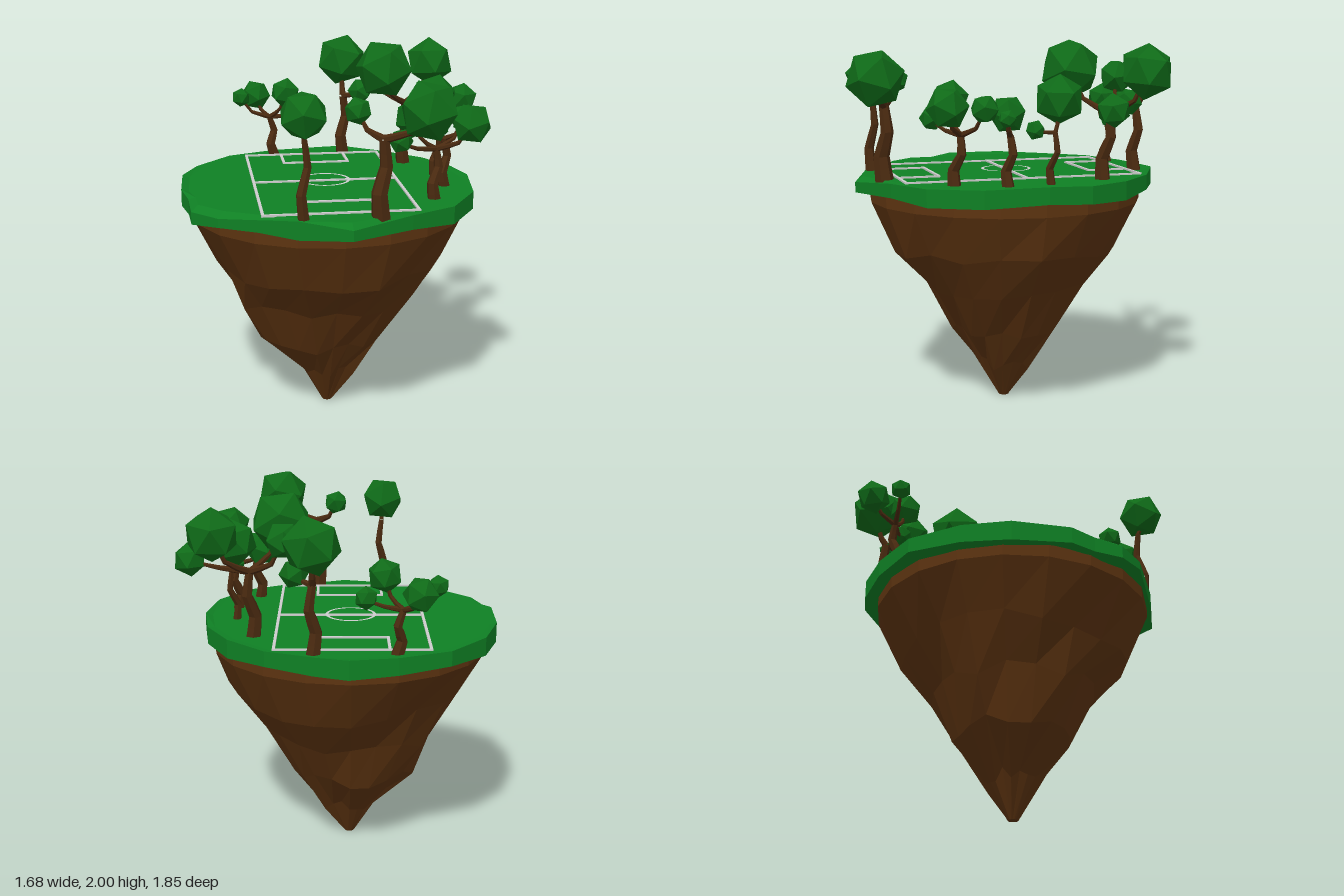
import * as THREE from 'three';

const mat = (color, extra = {}) => new THREE.MeshStandardMaterial({ color, flatShading: true, ...extra });
const CX = -0.06; // island axis

let seed = 7;
const rand = () => (seed = (seed * 16807) % 2147483647) / 2147483647;

function addMesh(parent, name, geometry, material) {
  const mesh = new THREE.Mesh(geometry, material);
  mesh.name = name;
  parent.add(mesh);
  return mesh;
}

// Skin a stack of closed rings (each an array of [x, y, z]), listed from top to bottom
function loft(rings) {
  const n = rings[0].length, index = [];
  for (let r = 0; r < rings.length - 1; r++) {
    for (let i = 0; i < n; i++) {
      const a = r * n + i, b = r * n + (i + 1) % n;
      index.push(a, b, a + n, b, b + n, a + n);
    }
  }
  const geo = new THREE.BufferGeometry();
  geo.setAttribute('position', new THREE.Float32BufferAttribute(rings.flat(2), 3));
  geo.setIndex(index);
  geo.computeVertexNormals();
  return geo;
}

// Ring order that makes the outside face outwards
const shrink = (ring, k, y) => ring.map(([x, , z]) => [CX + (x - CX) * k, y, z * k]);

// Tapered bent limb
function limb(points, r0, r1, segments) {
  const curve = new THREE.CatmullRomCurve3(points, false, 'catmullrom', 0.2);
  const sides = 6, geo = new THREE.TubeGeometry(curve, segments, 1, sides, false);
  const pos = geo.attributes.position, v = new THREE.Vector3();
  for (let i = 0; i < pos.count; i++) {
    const t = Math.floor(i / (sides + 1)) / segments;
    const centre = curve.getPointAt(t);
    v.fromBufferAttribute(pos, i).sub(centre).multiplyScalar(r0 + (r1 - r0) * t).add(centre);
    pos.setXYZ(i, v.x, v.y, v.z);
  }
  geo.computeVertexNormals();
  return geo;
}

function makeRock() {
  // height, then radius towards +x, +z, -x, -z
  const levels = [
    [1.21, 0.745, 0.74, 0.745, 0.75], [1.14, 0.745, 0.74, 0.745, 0.75],
    [0.88, 0.66, 0.61, 0.60, 0.59], [0.66, 0.50, 0.42, 0.49, 0.44],
    [0.42, 0.32, 0.28, 0.375, 0.32], [0.21, 0.18, 0.145, 0.145, 0.14],
    [0, 0.028, 0.028, 0.028, 0.028], [0, 0.001, 0.001, 0.001, 0.001],
  ];
  const n = 20;
  return loft(levels.map(([y, px, pz, nx, nz], row) => {
    const rough = row > 1 && row < 6 ? 1 : 0;
    return Array.from({ length: n }, (_, i) => {
      const a = -i / n * Math.PI * 2, c = Math.cos(a), s = Math.sin(a);
      const r = (c > 0 ? px : nx) * c * c + (s > 0 ? pz : nz) * s * s;
      const k = r * (1 + rough * (rand() - 0.5) * 0.06);
      return [CX + c * k, y + rough * (rand() - 0.5) * 0.07, s * k];
    });
  }));
}

function makeGrass() {
  // rim corners: x, height, z
  const rim = [
    [-0.045, 1.29, -0.82], [0.13, 1.3, -0.80], [0.37, 1.29, -0.67], [0.57, 1.29, -0.47],
    [0.69, 1.29, -0.24], [0.725, 1.3, 0], [0.68, 1.29, 0.32], [0.52, 1.285, 0.57],
    [0.28, 1.285, 0.70], [-0.035, 1.257, 0.83], [-0.29, 1.285, 0.73], [-0.48, 1.27, 0.63],
    [-0.67, 1.255, 0.53], [-0.80, 1.255, 0.39], [-0.81, 1.28, 0.24], [-0.845, 1.3, 0.11],
    [-0.835, 1.3, -0.20], [-0.75, 1.29, -0.44], [-0.555, 1.29, -0.67], [-0.29, 1.29, -0.78],
  ].reverse();
  const foot = rim.map(([x, , z], i) => [x, 1.2 + 0.012 * Math.sin(i * 1.9), z]);
  return loft([shrink(rim, 0.001, 1.287), shrink(rim, 0.95, 1.287), rim, foot, shrink(foot, 0.8, 1.2)]);
}

function makePitch(material) {
  const pitch = new THREE.Group();
  pitch.name = 'pitchMarkings';
  const w = 0.015, y = 1.29;
  const line = (x0, z0, x1, z1) => {
    const g = new THREE.BoxGeometry(Math.abs(x1 - x0) + w, 0.012, Math.abs(z1 - z0) + w);
    g.translate((x0 + x1) / 2, y, (z0 + z1) / 2);
    addMesh(pitch, 'pitchLine', g, material);
  };
  const box = (x0, z0, x1, z1) => {
    for (const x of [x0, x1]) line(x, z0, x, z1);
    for (const z of [z0, z1]) line(x0, z, x1, z);
  };
  box(-0.455, -0.65, 0.325, 0.63);
  box(-0.25, -0.65, 0.12, -0.435);
  box(-0.25, 0.41, 0.12, 0.63);
  line(-0.455, -0.015, 0.325, -0.015);
  const ring = new THREE.RingGeometry(0.122, 0.138, 40).rotateX(-Math.PI / 2);
  addMesh(pitch, 'centreCircle', ring.translate(-0.065, y + 0.006, -0.015), material);
  return pitch;
}

// base [x, z], fork [x, y, z], radii at foot and fork, crowns [x, y, z, radius]
const TREES = [
  { base: [-0.28, -0.70], fork: [-0.31, 1.51, -0.71], r: [0.035, 0.017], crowns: [
    [-0.38, 1.62, -0.84, 0.09], [-0.475, 1.63, -0.71, 0.055], [-0.22, 1.665, -0.645, 0.088], [-0.13, 1.555, -0.655, 0.06]] },
  { base: [0.13, -0.70], fork: [0.13, 1.63, -0.70], r: [0.04, 0.022], crowns: [
    [0.13, 1.835, -0.76, 0.15], [0.22, 1.67, -0.62, 0.075]] },
  { base: [0.44, -0.39], fork: [0.45, 1.63, -0.42], r: [0.042, 0.022], crowns: [
    [0.62, 1.845, -0.55, 0.14], [0.76, 1.67, -0.315, 0.088], [0.295, 1.855, -0.255, 0.165], [0.275, 1.81, -0.525, 0.095]] },
  { base: [0.55, -0.07], fork: [0.57, 1.55, -0.08], r: [0.024, 0.013], crowns: [
    [0.555, 1.715, -0.105, 0.13], [0.555, 1.565, 0.02, 0.052]] },
  { base: [0.56, 0.16], fork: [0.555, 1.54, 0.15], r: [0.033, 0.018], crowns: [
    [0.415, 1.635, 0.12, 0.1], [0.635, 1.63, 0.19, 0.047]] },
  { base: [0.45, 0.41], fork: [0.46, 1.54, 0.38], r: [0.036, 0.018], crowns: [
    [0.335, 1.71, 0.405, 0.102], [0.255, 1.61, 0.48, 0.065], [0.615, 1.69, 0.485, 0.108], [0.62, 1.68, 0.30, 0.075]] },
  { base: [0.12, 0.70], fork: [0.13, 1.67, 0.70], r: [0.05, 0.026], crowns: [
    [0.33, 1.82, 0.78, 0.152], [0.015, 1.795, 0.615, 0.07]] },
  { base: [-0.26, 0.70], fork: [-0.255, 1.68, 0.69], r: [0.032, 0.015], crowns: [
    [-0.26, 1.80, 0.71, 0.125]] },
];

function makeTree({ base, fork, r, crowns }, bark, leaf) {
  const tree = new THREE.Group();
  tree.name = 'tree';
  const foot = new THREE.Vector3(base[0], 1.27, base[1]);
  const top = new THREE.Vector3(...fork);
  const bend = (t, dx, dz) => foot.clone().lerp(top, t).add(new THREE.Vector3(dx, 0, dz));
  const trunk = [foot, bend(0.35, -0.016, 0.012), bend(0.65, 0.018, -0.012), top];
  addMesh(tree, 'trunk', limb(trunk, r[0], r[1], 6), bark);
  for (const [x, y, z, size] of crowns) {
    const end = new THREE.Vector3(x, y, z);
    // each branch reaches outwards first, then turns up into its crown
    const elbow = top.clone().lerp(end, 0.65);
    elbow.y = top.y + (y - top.y) * 0.3;
    addMesh(tree, 'branch', limb([top, elbow, end], r[1] * 0.85, 0.007, 4), bark);
    const crown = addMesh(tree, 'crown', new THREE.IcosahedronGeometry(size, 0), leaf);
    crown.position.copy(end);
    crown.rotation.set(rand() * 6, rand() * 6, rand() * 6);
  }
  return tree;
}

export function createModel() {
  const island = new THREE.Group();
  island.name = 'floatingIsland';
  const bark = mat(0x4a2a10), leaf = mat(0x0f6a18);
  addMesh(island, 'rock', makeRock(), mat(0x5c3310, { side: THREE.DoubleSide }));
  addMesh(island, 'grass', makeGrass(), mat(0x0f8024, { side: THREE.DoubleSide }));
  island.add(makePitch(mat(0xcccccc)));
  for (const t of TREES) island.add(makeTree(t, bark, leaf));
  return island;
}
